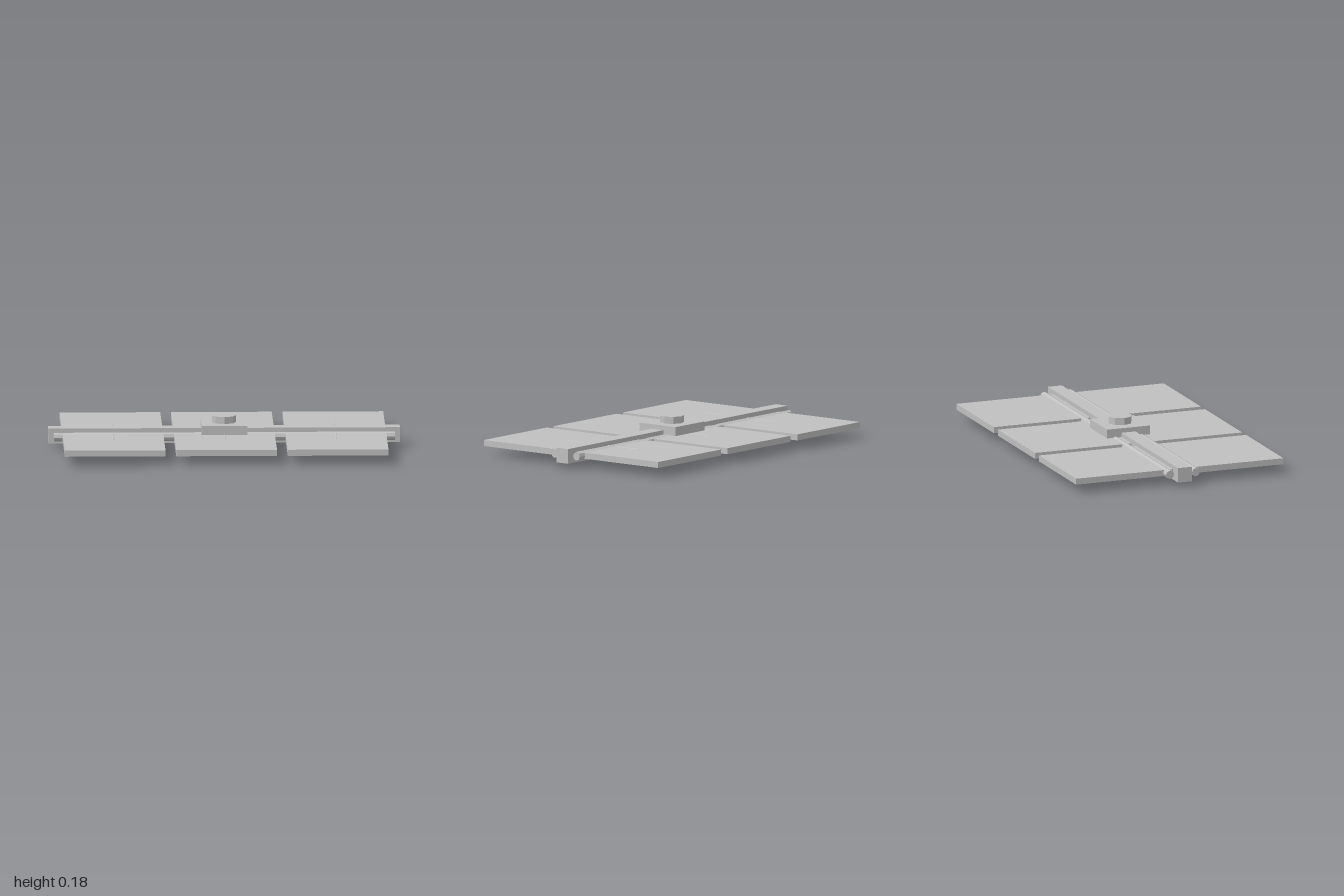
import * as THREE from 'three';

export function createModel() {
  const model = new THREE.Group();
  const grey = new THREE.MeshStandardMaterial({ color: 0xc0c0c0, flatShading: true });
  grey.name = 'light grey';
  const midY = 0.071;

  function add(name, geometry, x, y, z) {
    const mesh = new THREE.Mesh(geometry, grey);
    mesh.name = name;
    mesh.position.set(x, y, z);
    model.add(mesh);
    return mesh;
  }

  // Central beam, hub block and octagonal cap
  add('mainBeam', new THREE.BoxGeometry(2, 0.085, 0.085), 0, midY, 0);
  add('hub', new THREE.BoxGeometry(0.262, 0.14, 0.262), 0, 0.07, 0);
  add('hubCap', new THREE.CylinderGeometry(0.069, 0.069, 0.04, 8), 0, 0.16, 0);

  // Octagonal rails along both sides of the beam
  for (const side of [-1, 1]) {
    const rail = new THREE.CylinderGeometry(0.0245, 0.0245, 1.94, 8).rotateZ(Math.PI / 2);
    add(side > 0 ? 'frontRail' : 'backRail', rail, 0, midY, side * 0.079);
  }

  for (const x of [-0.634, 0, 0.634]) {
    // Cross rod buried in the panels, its ridge just showing
    const rod = new THREE.CylinderGeometry(0.0195, 0.0195, 0.524, 8).rotateX(Math.PI / 2);
    add('crossRod', rod, x, midY, 0);

    // Flat panels in front of and behind the beam
    for (const side of [-1, 1]) {
      const panel = new THREE.BoxGeometry(0.573, 0.035, 0.603);
      add(side > 0 ? 'frontPanel' : 'backPanel', panel, x, midY, side * 0.3325);
    }
  }
  return model;
}
